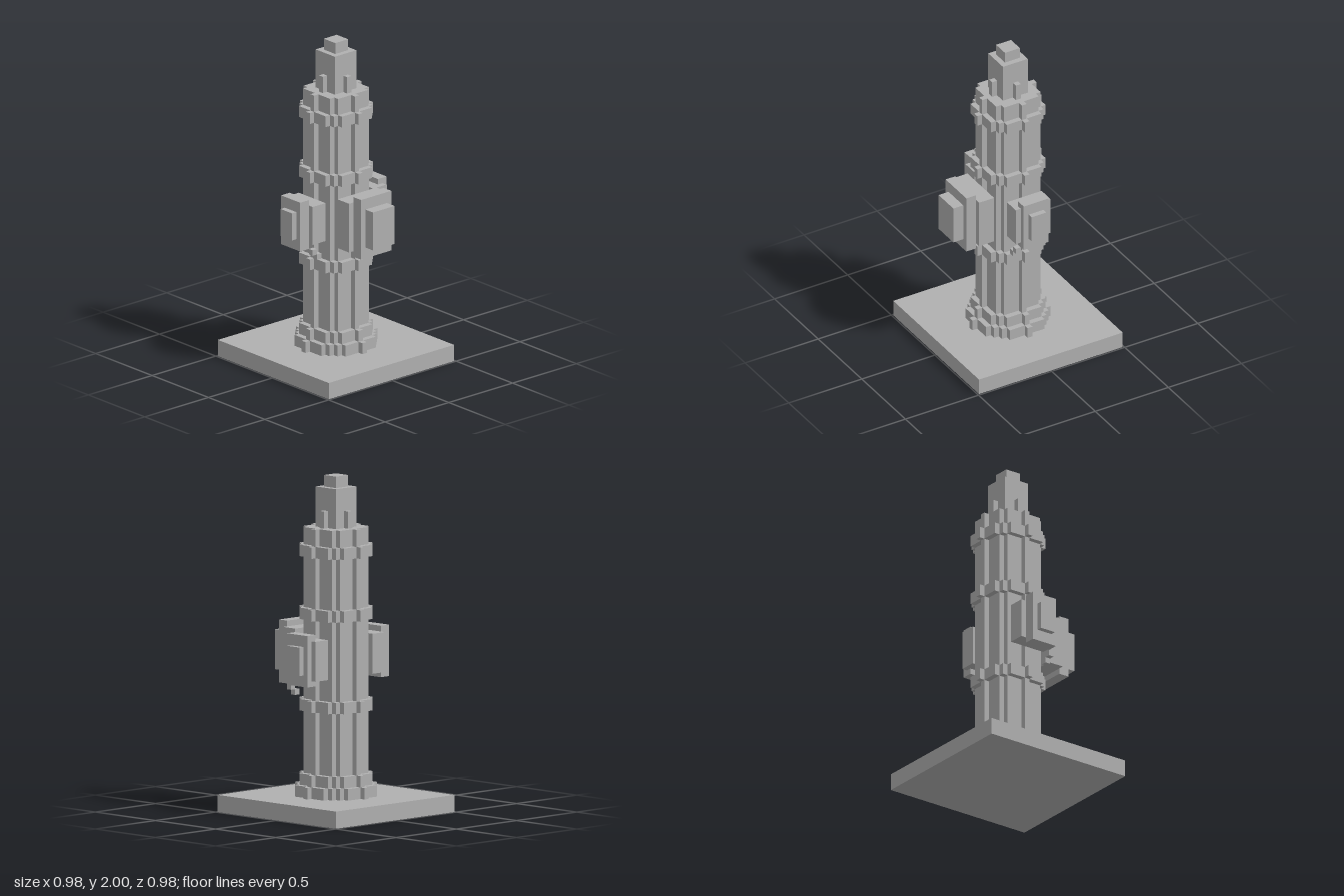
import * as THREE from 'three';

const V = 2 / 59; // size of one block

export function createModel() {
  const hydrant = new THREE.Group();
  hydrant.name = 'hydrant';
  const grey = new THREE.MeshStandardMaterial({ color: 0xb0b0b0 });
  grey.name = 'grey';

  const add = (name, geometry) => {
    const mesh = new THREE.Mesh(geometry, grey);
    mesh.name = name;
    hydrant.add(mesh);
  };

  // Box from its lower to its upper bounds, in blocks
  const box = (name, x0, x1, y0, y1, z0, z1) => {
    const g = new THREE.BoxGeometry((x1 - x0) * V, (y1 - y0) * V, (z1 - z0) * V);
    g.translate((x0 + x1) * V / 2, (y0 + y1) * V / 2, (z0 + z1) * V / 2);
    add(name, g);
  };

  // Stepped round slab: every block whose centre lies within radius r
  const disk = (name, r, y0, y1) => {
    const right = [], left = [];
    for (let k = -r; k <= r; k++) {
      const w = (Math.floor(Math.sqrt(r * r - k * k)) + 0.5) * V;
      for (const edge of [k - 0.5, k + 0.5]) {
        const p = right[right.length - 1];
        // rows of equal width share one long side
        if (edge < k && p && Math.abs(p.x - w) < 1e-6) {
          right.pop();
          left.pop();
          continue;
        }
        right.push(new THREE.Vector2(w, edge * V));
        left.push(new THREE.Vector2(-w, edge * V));
      }
    }
    const shape = new THREE.Shape([...right, ...left.reverse()]);
    const g = new THREE.ExtrudeGeometry(shape, { depth: (y1 - y0) * V, bevelEnabled: false });
    g.rotateX(-Math.PI / 2);
    g.translate(0, y0 * V, 0);
    add(name, g);
  };

  // Ground slab and foot
  box('baseSlab', -14.5, 14.5, 0, 3, -14.5, 14.5);
  disk('footFlange', 7, 3, 5);
  disk('footStep', 6, 5, 7);

  // Barrel and its bands
  disk('barrel', 5, 7, 50);
  for (const y of [18, 34, 45]) disk('barrelBand', 6, y, y + 2);

  // Stepped top
  disk('bonnetCollar', 3, 50, 53);
  box('bonnet', -2.5, 2.5, 53, 57, -2.5, 2.5);
  box('operatingNut', -1.5, 1.5, 57, 59, -1.5, 1.5);

  // Large front outlet
  box('frontOutletNeck', -4.5, 4.5, 23, 32, 5.5, 8.5);
  box('frontOutletFlange', -3.5, 3.5, 22, 33, 8.5, 10.5);
  box('frontOutletCap', -2.5, 2.5, 24, 31, 10.5, 12.5);

  // Side outlets; the one at -x stands out one block further
  for (const [side, s, out] of [['left', 1, 9.5], ['right', -1, 10.5]]) {
    const sideBox = (name, a, b, ...rest) =>
      box(side + name, Math.min(s * a, s * b), Math.max(s * a, s * b), ...rest);
    sideBox('OutletNeck', 5.5, 8.5, 24, 31, -3.5, 3.5);
    sideBox('OutletFlange', out - 2, out, 23, 32, -2.5, 2.5);
    sideBox('OutletCap', out, out + 1, 25, 30, -1.5, 1.5);
    // Chain links stepping down towards the barrel
    sideBox('ChainLinkUpper', 7.5, 8.5, 22, 23, 2.5, 3.5);
    sideBox('ChainLinkLower', 6.5, 7.5, 21, 22, 2.5, 3.5);
  }
  return hydrant;
}
